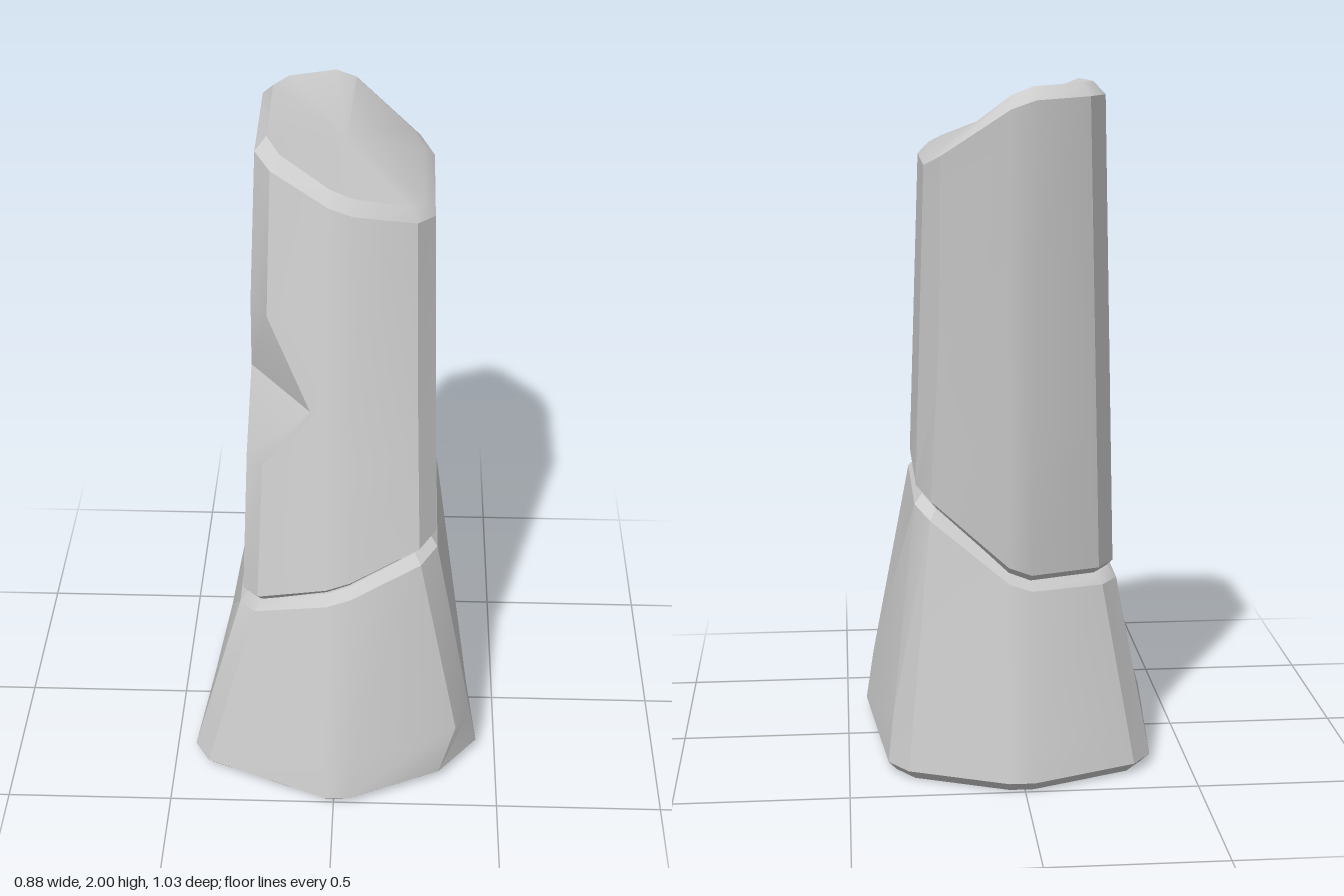
import * as THREE from 'three';
import { toCreasedNormals } from 'three/addons/utils/BufferGeometryUtils.js';

const V = (x, y, z) => new THREE.Vector3(x, y, z);

// Corner order: front, front +x, back +x, back, back -x, front -x
const BEVEL = [0.04, 0.055, 0.055, 0.04, 0.055, 0.055];

// Splits each of the six corners in two; chips = { corner: [cut before, cut after] }
function bevelRing(corners, chips = {}) {
  const ring = [];
  corners.forEach((p, i) => {
    const cut = chips[i] || [BEVEL[i], BEVEL[i]];
    [corners[(i + 5) % 6], corners[(i + 1) % 6]].forEach((q, k) => {
      ring.push(q.clone().sub(p).normalize().multiplyScalar(cut[k]).add(p));
    });
  });
  return ring;
}

const mix = (a, b, t) => a.map((p, i) => p.clone().lerp(b[i], t));

const centre = (ring) => ring.reduce((s, p) => s.add(p), V(0, 0, 0)).divideScalar(ring.length);

// Shrinks a ring sideways and shifts it vertically for an edge chamfer
function inset(ring, amount, dy) {
  const c = centre(ring);
  return ring.map((p) => {
    const d = V(c.x - p.x, 0, c.z - p.z).normalize().multiplyScalar(amount);
    return V(p.x + d.x, p.y + dy, p.z + d.z);
  });
}

// Skins rings from bottom to top and closes both ends
function loft(name, rings) {
  const n = rings[0].length;
  const points = rings.flat();
  const index = [];
  for (let r = 0; r < rings.length - 1; r++) {
    for (let i = 0; i < n; i++) {
      const a = r * n + i, b = r * n + (i + 1) % n;
      index.push(a, b, b + n, a, b + n, a + n);
    }
  }
  const last = (rings.length - 1) * n;
  const low = points.push(centre(rings[0])) - 1;
  const high = points.push(centre(rings[rings.length - 1])) - 1;
  for (let i = 0; i < n; i++) {
    const j = (i + 1) % n;
    index.push(low, j, i, high, last + i, last + j);
  }
  const geometry = new THREE.BufferGeometry().setFromPoints(points);
  geometry.setIndex(index);
  const mesh = new THREE.Mesh(
    toCreasedNormals(geometry, 0.5),
    new THREE.MeshStandardMaterial({ color: 0xcccccc })
  );
  mesh.name = name;
  return mesh;
}

export function createModel() {
  const group = new THREE.Group();
  group.name = 'stonePillar';

  // Flared base stone, with a chipped front corner at the foot
  const foot = [
    V(0.01, 0.03, 0.53), V(0.45, 0.03, 0.325), V(0.38, 0.03, -0.37),
    V(0.01, 0.03, -0.527), V(-0.38, 0.03, -0.37), V(-0.445, 0.03, 0.335),
  ];
  const shoulder = [
    V(0.01, 0.685, 0.4), V(0.3, 0.79, 0.29), V(0.3, 0.79, -0.3),
    V(0.01, 0.57, -0.425), V(-0.29, 0.555, -0.3), V(-0.29, 0.565, 0.285),
  ];
  const footRing = bevelRing(foot, { 1: [0.14, 0.09] });
  const shoulderRing = bevelRing(shoulder);
  group.add(loft('baseStone', [
    inset(footRing, 0.03, -0.03),
    footRing,
    bevelRing(mix(foot, shoulder, 0.19)),
    shoulderRing,
    inset(shoulderRing, 0.03, 0.028),
  ]));

  // Leaning upper stone with a slanted top
  const seat = [
    V(0.01, 0.74, 0.39), V(0.295, 0.845, 0.285), V(0.295, 0.845, -0.29),
    V(0.01, 0.615, -0.42), V(-0.28, 0.605, -0.29), V(-0.28, 0.615, 0.28),
  ];
  const crown = [
    V(0.01, 1.85, 0.185), V(0.27, 1.775, 0.085), V(0.27, 1.775, -0.41),
    V(0.01, 1.955, -0.52), V(-0.23, 1.965, -0.41), V(-0.23, 1.955, 0.07),
  ];
  const seatRing = bevelRing(seat);
  const crownRing = bevelRing(crown);
  // Notch broken out of the front -x edge
  const notch = [0.33, 0.48, 0.68].map((t, i) =>
    bevelRing(mix(seat, crown, t), i === 1 ? { 5: [0.19, 0.2] } : {}));
  group.add(loft('upperStone', [
    inset(seatRing, 0.03, -0.028),
    seatRing,
    ...notch,
    crownRing,
    inset(crownRing, 0.04, 0.035),
  ]));

  return group;
}
